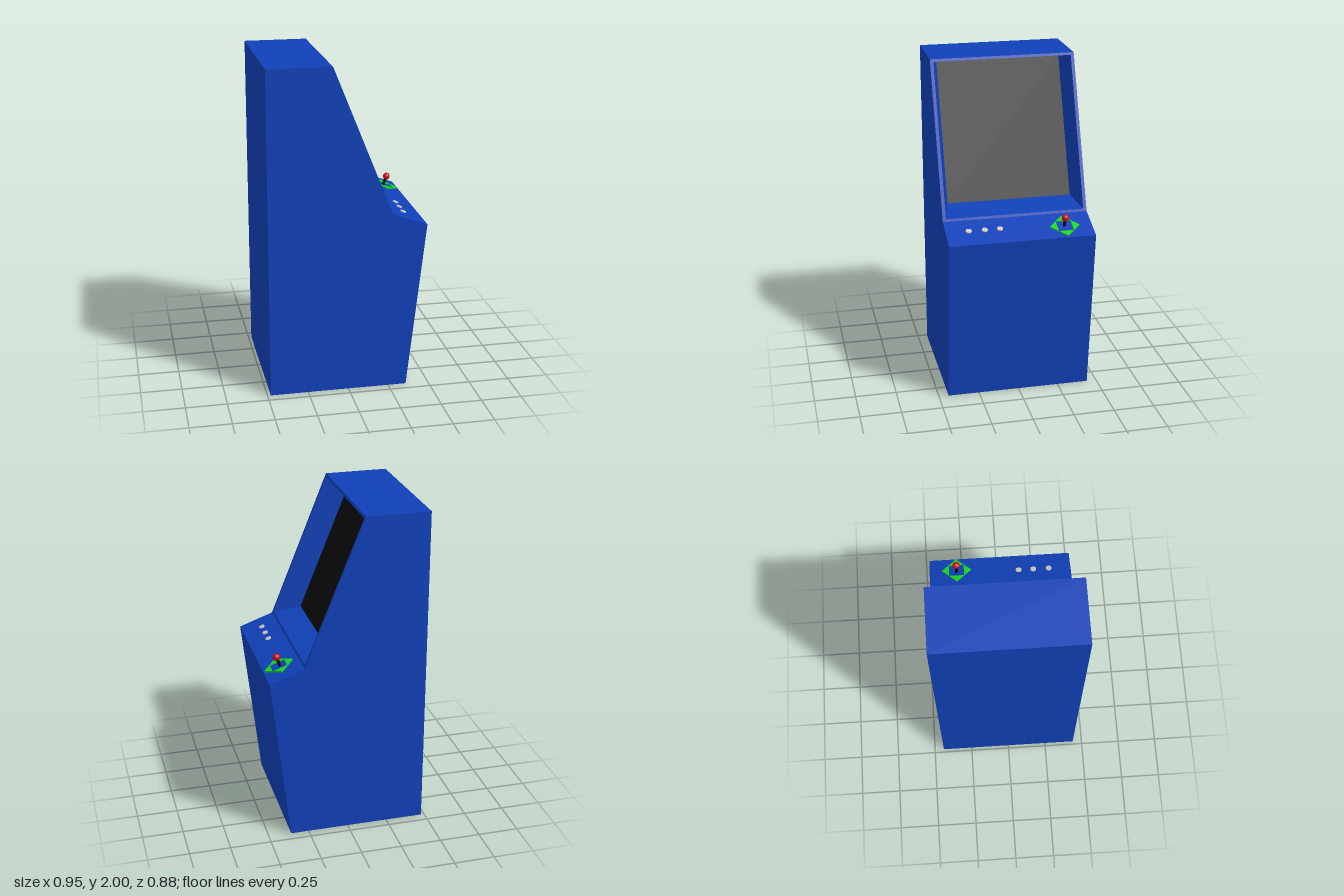
import * as THREE from 'three';

const paint = (color) => new THREE.MeshStandardMaterial({ color, flatShading: true });
const BLUE = paint(0x1040b8), BLACK = paint(0x0b0b0b), GREEN = paint(0x18d826);
const RED = paint(0xd00c16), GREY = paint(0xcccccc);

function addMesh(parent, name, geometry, material, x = 0, y = 0, z = 0) {
  const mesh = new THREE.Mesh(geometry, material);
  mesh.name = name;
  mesh.position.set(x, y, z);
  parent.add(mesh);
  return mesh;
}

// Flat four-sided faces, corners counter-clockwise from outside
function quads(list) {
  const points = list.flatMap(([a, b, c, d]) => [a, b, c, a, c, d]).flat();
  const geometry = new THREE.BufferGeometry();
  geometry.setAttribute('position', new THREE.Float32BufferAttribute(points, 3));
  geometry.computeVertexNormals();
  return geometry;
}

// Rectangle parallel to the sloped screen face: bottom and top [x, y], half width
const ring = ([bx, by], [tx, ty], w) => [[bx, by, w], [bx, by, -w], [tx, ty, -w], [tx, ty, w]];
// Band of faces joining two such rectangles
const band = (outer, inner) => outer.map((p, i) => {
  const j = (i + 1) % 4;
  return [p, outer[j], inner[j], inner[i]];
});

export function createModel() {
  const model = new THREE.Group();
  model.name = 'arcadeCabinet';
  const W = 0.44;

  // Side outline; the edge from point 3 to point 4 holds the screen
  const profile = [[-0.48, 0], [0.36, 0], [0.475, 1.03], [0.265, 1.105], [-0.095, 2], [-0.48, 2]];
  const outline = new THREE.Shape(profile.map(([x, y]) => new THREE.Vector2(x, y)));
  addMesh(model, 'leftSidePanel', new THREE.ShapeGeometry(outline), BLUE, 0, 0, W);
  const rightSide = new THREE.ShapeGeometry(outline);
  rightSide.index.array.reverse();
  rightSide.computeVertexNormals();
  addMesh(model, 'rightSidePanel', rightSide, BLUE, 0, 0, -W);

  // Bottom, front, control deck, top and back
  const shell = [];
  profile.forEach((p, i) => {
    if (i === 3) return;
    const q = profile[(i + 1) % profile.length];
    shell.push([[...p, W], [...p, -W], [...q, -W], [...q, W]]);
  });
  addMesh(model, 'cabinetShell', quads(shell), BLUE);

  // Thin rim, tapered recess and screen
  const face = ring(profile[3], profile[4], W);
  const opening = ring([0.259, 1.12], [-0.089, 1.985], 0.42);
  const glass = ring([0.09, 1.155], [-0.234, 1.96], 0.38);
  addMesh(model, 'screenRim', quads(band(face, opening)), BLUE);
  addMesh(model, 'screenRecess', quads(band(opening, glass)), BLUE);
  addMesh(model, 'screen', quads([glass]), BLACK);

  // Controls share the tilt of the deck: local y points out of it
  const controls = new THREE.Group();
  controls.name = 'controls';
  controls.position.set(0.375, 1.066, 0);
  controls.rotation.z = -Math.atan2(0.075, 0.21);
  model.add(controls);

  // Joystick
  const stickZ = -0.272;
  addMesh(controls, 'joystickShaft', new THREE.CylinderGeometry(0.009, 0.009, 0.06, 12), BLACK, 0, 0.026, stickZ);
  addMesh(controls, 'joystickBall', new THREE.SphereGeometry(0.022, 14, 10), RED, 0, 0.06, stickZ);

  // Four direction arrows around the joystick
  const arrow = new THREE.Shape([[0.046, -0.044], [0.09, 0], [0.046, 0.044]].map((p) => new THREE.Vector2(...p)));
  const arrowGeometry = new THREE.ExtrudeGeometry(arrow, { depth: 0.009, bevelEnabled: false });
  arrowGeometry.rotateX(-Math.PI / 2);
  for (let i = 0; i < 4; i++) {
    const mesh = addMesh(controls, 'directionArrow', arrowGeometry, GREEN, 0.008, 0, stickZ);
    mesh.rotation.y = (i * Math.PI) / 2;
  }

  // Row of push buttons
  for (const z of [0.115, 0.207, 0.303]) {
    addMesh(controls, 'button', new THREE.CylinderGeometry(0.018, 0.018, 0.008, 20), GREY, -0.016, 0.002, z);
  }
  return model;
}
